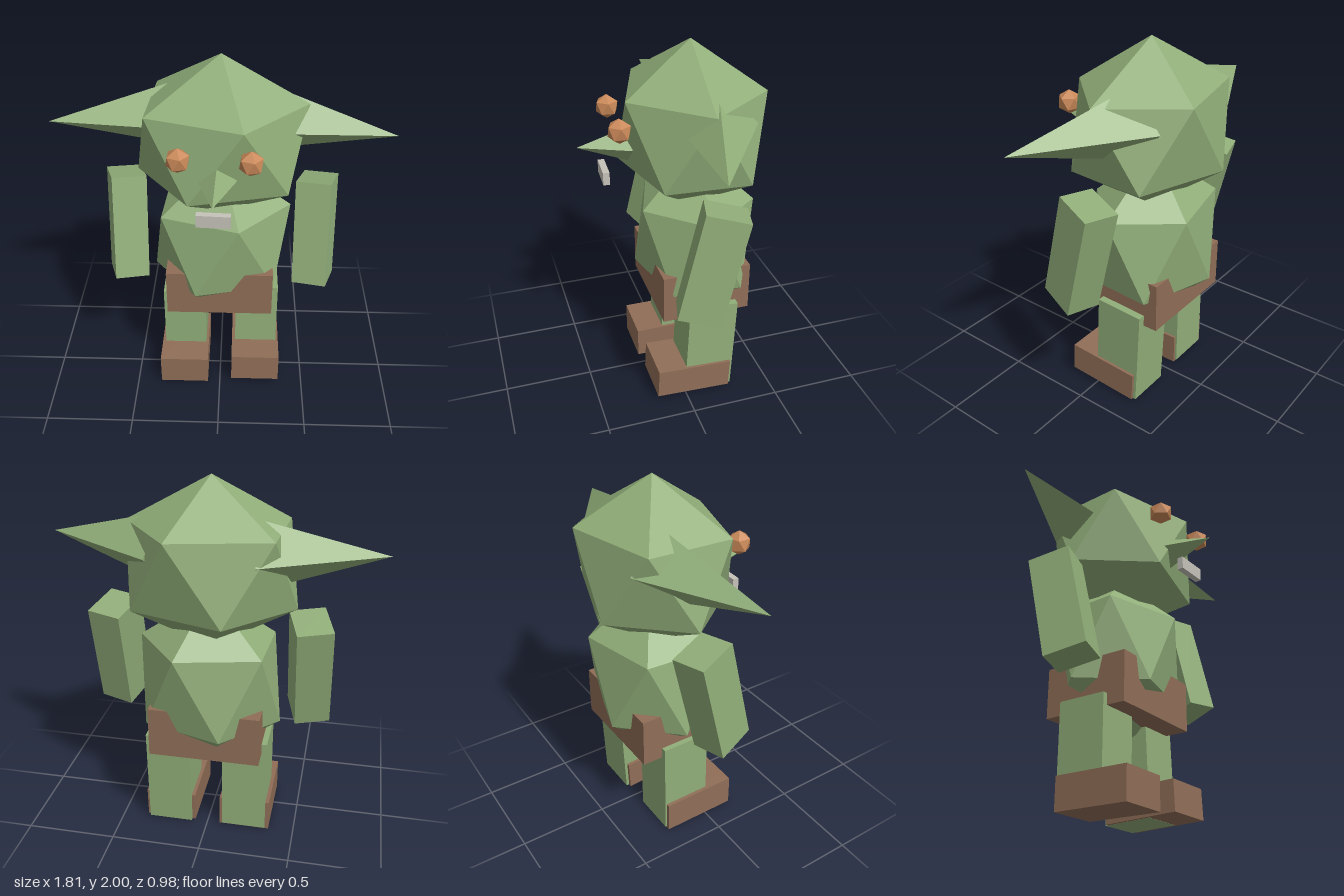
import * as THREE from 'three';
import { ConvexGeometry } from 'three/addons/geometries/ConvexGeometry.js';

const V = (x, y, z) => new THREE.Vector3(x, y, z);

function paint(name, color) {
  const m = new THREE.MeshStandardMaterial({ color });
  m.name = name;
  return m;
}

export function createModel() {
  const model = new THREE.Group();
  model.name = 'goblin';
  const skin = paint('green skin', 0x91ae79);
  const leather = paint('brown leather', 0x906e57);
  const amber = paint('amber eyes', 0xc98858);
  const bone = paint('pale teeth', 0xc6c3ba);

  function add(name, geometry, material, position = [0, 0, 0], rotation = [0, 0, 0]) {
    const mesh = new THREE.Mesh(geometry, material);
    mesh.name = name;
    mesh.position.set(...position);
    mesh.rotation.set(...rotation);
    model.add(mesh);
    return mesh;
  }
  const box = (name, material, size, position, rotation) =>
    add(name, new THREE.BoxGeometry(...size), material, position, rotation);

  // Twenty-faced solid standing on a corner, stretched by the three radii
  function gem(rx, ry, rz) {
    const points = [V(0, ry, 0), V(0, -ry, 0)];
    for (let i = 0; i < 5; i++) {
      const a = THREE.MathUtils.degToRad(2.8 + 72 * i);
      const p = V(0.894 * rx * Math.cos(a), 0.447 * ry, 0.894 * rz * Math.sin(a));
      points.push(p, p.clone().negate());
    }
    return new ConvexGeometry(points);
  }

  // Four-sided spike: tip, base centre and the two half diagonals of the base
  const spike = (tip, base, u, v) => new ConvexGeometry([
    tip, base.clone().add(u), base.clone().sub(u), base.clone().add(v), base.clone().sub(v),
  ]);

  // Head and body
  add('head', gem(0.512, 0.464, 0.436), skin, [0, 1.54, -0.115]);
  add('torso', gem(0.437, 0.5, 0.366), skin, [0, 0.895, -0.14]);

  // Face
  add('nose', spike(V(-0.025, 1.475, 0.49), V(-0.01, 1.47, 0.22), V(0.1, 0, 0), V(0, 0.095, 0)), skin);
  add('rightEye', gem(0.066, 0.067, 0.066), amber, [-0.2, 1.617, 0.283]);
  add('leftEye', gem(0.066, 0.067, 0.066), amber, [0.157, 1.617, 0.303]);
  box('teeth', bone, [0.175, 0.07, 0.035], [-0.025, 1.318, 0.352], [0, -0.06, 0]);

  // Ears
  add('leftEar', spike(V(0.905, 1.63, 0.02), V(0.23, 1.63, -0.18), V(0.06, 0, -0.2), V(0, 0.19, 0)), skin);
  add('rightEar', spike(V(-0.905, 1.63, -0.09), V(-0.23, 1.63, -0.21), V(-0.04, 0, -0.2), V(0, 0.19, 0)), skin);

  // Arms swing forward and turn outward
  box('leftArm', skin, [0.192, 0.6, 0.23], [0.531, 0.997, -0.066], [-0.235, -0.28, 0]);
  box('rightArm', skin, [0.192, 0.6, 0.23], [-0.533, 0.994, -0.105], [-0.235, 0.28, 0]);

  // Trousers, pierced by the belly so only the corners rise as tabs
  box('trousers', leather, [0.605, 0.28, 0.5], [-0.004, 0.652, -0.13]);

  // Legs and shoes
  box('leftLeg', skin, [0.25, 0.57, 0.28], [0.215, 0.298, -0.148], [-0.045, 0, 0]);
  box('rightLeg', skin, [0.25, 0.565, 0.28], [-0.212, 0.292, -0.125]);
  box('leftShoe', leather, [0.285, 0.17, 0.43], [0.213, 0.103, -0.047], [-0.045, 0, 0]);
  box('rightShoe', leather, [0.285, 0.18, 0.43], [-0.215, 0.09, -0.04]);

  return model;
}
